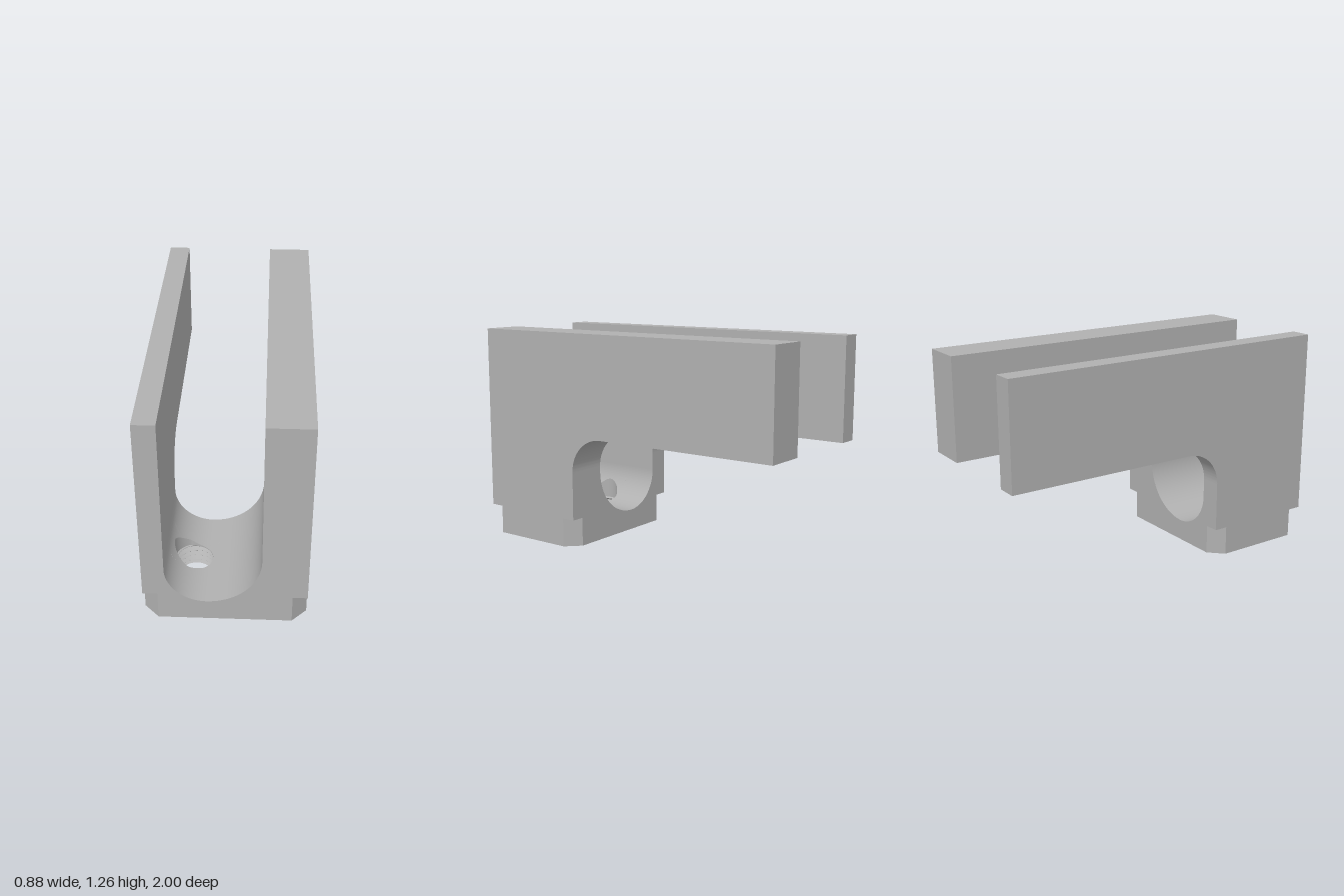
import * as THREE from 'three';
import { toCreasedNormals } from 'three/addons/utils/BufferGeometryUtils.js';
import { ParametricGeometry } from 'three/addons/geometries/ParametricGeometry.js';

const W = 0.44, TOP = 1.26, FRONT = 1, BACK = 0.33;   // overall block
const STEP = 0.17, CH = 0.08;                         // corner chamfers of the foot
const SLOT_L = -0.32, SLOT_R = 0.195, FLOOR = 0.125;  // slot between the arms
const MID = -0.1, RL = 0.22, RR = 0.295;              // the two floor radii meet at MID
const HX = -0.18, HZ = 0.66, R_IN = 0.093, R_OUT = 0.115, PLATE = 0.12;
const SQ = 0.125;                                     // half size of floor patch round the hole

// Slot curve: angle 0 is the left wall, PI the right wall
const radiusAt = (a) => (a < Math.PI / 2 ? RL : RR);
const curveX = (a) => MID - radiusAt(a) * Math.cos(a);
const curveY = (a) => FLOOR + radiusAt(a) * (1 - Math.sin(a));
const angleOf = (x) => Math.acos(THREE.MathUtils.clamp((MID - x) / (x < MID ? RL : RR), -1, 1));
const floorY = (x) => curveY(angleOf(x));

export function createModel() {
  const group = new THREE.Group();
  const grey = new THREE.MeshStandardMaterial({ color: 0xb0b0b0, side: THREE.DoubleSide });
  grey.name = 'grey metal';

  function add(name, geometry, crease = 0.6) {
    const mesh = new THREE.Mesh(toCreasedNormals(geometry, crease), grey);
    mesh.name = name;
    group.add(mesh);
    return mesh;
  }
  const surface = (name, fn, nu, nv, crease) => add(name, new ParametricGeometry(fn, nu, nv), crease);

  // Arms: side profile with a rounded inner corner, extruded across x
  function arm(name, x0, x1) {
    const s = new THREE.Shape();
    s.moveTo(-FRONT, STEP);
    s.lineTo(-BACK, STEP);
    s.lineTo(-BACK, 0.455);
    s.absarc(-0.12, 0.455, 0.21, Math.PI, Math.PI / 2, true);
    s.lineTo(1, 0.665);
    s.lineTo(1, TOP);
    s.lineTo(-FRONT, TOP);
    s.closePath();
    const g = new THREE.ExtrudeGeometry(s, { depth: x1 - x0, bevelEnabled: false, curveSegments: 24 });
    g.rotateY(Math.PI / 2);
    g.translate(x0, 0, 0);
    add(name, g);
  }
  arm('rightArm', -W, SLOT_L);
  arm('leftArm', SLOT_R, W);

  // Foot: chamfered plan outlines extruded upward
  function slab(name, points, y0, y1, hole) {
    const s = new THREE.Shape(points.map(([x, z]) => new THREE.Vector2(x, -z)));
    if (hole) s.holes.push(new THREE.Path().absarc(HX, -HZ, hole, 0, Math.PI * 2, true));
    const g = new THREE.ExtrudeGeometry(s, { depth: y1 - y0, bevelEnabled: false, curveSegments: 48 });
    g.rotateX(-Math.PI / 2);
    g.translate(0, y0, 0);
    add(name, g);
  }
  const rightEnd = [[-W + CH, BACK], [-W, BACK + CH], [-W, FRONT - CH], [-W + CH, FRONT]];
  const leftEnd = [[W - CH, FRONT], [W, FRONT - CH], [W, BACK + CH], [W - CH, BACK]];
  slab('footPlate', [...rightEnd, ...leftEnd], 0, PLATE, R_OUT + 0.001);
  slab('rightFootStep', [...rightEnd, [SLOT_L, FRONT], [SLOT_L, BACK]], PLATE, STEP);
  slab('leftFootStep', [[SLOT_R, BACK], [SLOT_R, FRONT], ...leftEnd], PLATE, STEP);

  // End faces under the slot curve
  const end = new THREE.Shape();
  end.moveTo(SLOT_L, PLATE);
  end.lineTo(SLOT_R, PLATE);
  for (let i = 64; i >= 0; i--) {
    const a = (Math.PI * i) / 64;
    end.lineTo(curveX(a), curveY(a));
  }
  add('slotFrontFace', new THREE.ShapeGeometry(end)).position.z = FRONT;
  const backFace = new THREE.ShapeGeometry(end);
  const index = backFace.index.array;
  for (let i = 0; i < index.length; i += 3) [index[i], index[i + 1]] = [index[i + 1], index[i]];
  add('slotBackFace', backFace).position.z = BACK;

  // Slot floor in strips around a square patch
  function floorStrip(x0, x1, z0, z1) {
    const a0 = angleOf(x0), a1 = angleOf(x1);
    surface('slotFloor', (u, v, p) => {
      const a = a0 + (a1 - a0) * v;
      p.set(curveX(a), curveY(a), z0 + (z1 - z0) * u);
    }, 1, 32);
  }
  floorStrip(SLOT_L, HX - SQ, BACK, FRONT);
  floorStrip(HX + SQ, SLOT_R, BACK, FRONT);
  floorStrip(HX - SQ, HX + SQ, BACK, HZ - SQ);
  floorStrip(HX - SQ, HX + SQ, HZ + SQ, FRONT);

  // The hole opens wider where the floor climbs
  function mouth(t) {
    const rise = floorY(HX + R_OUT * Math.cos(t)) - FLOOR;
    return THREE.MathUtils.lerp(0.098, R_OUT, THREE.MathUtils.smoothstep(rise, 0.005, 0.035));
  }
  surface('floorAroundHole', (u, v, p) => {
    const t = u * Math.PI * 2, c = Math.cos(t), s = Math.sin(t);
    const r = THREE.MathUtils.lerp(mouth(t), SQ / Math.max(Math.abs(c), Math.abs(s)), v);
    const x = HX + r * c;
    p.set(x, floorY(x), HZ + r * s);
  }, 96, 8);
  surface('holeMouth', (u, v, p) => {
    const t = u * Math.PI * 2, r = mouth(t), x = HX + r * Math.cos(t);
    p.set(x, THREE.MathUtils.lerp(PLATE, floorY(x), v), HZ + r * Math.sin(t));
  }, 96, 2);

  // Helical thread, fading out at both ends
  const PITCH = 0.034;
  function threadRadius(t, y) {
    const f = y / PITCH - t / (Math.PI * 2);
    const wave = 1 - Math.abs(2 * (f - Math.floor(f)) - 1);
    const r = R_IN + (R_OUT - R_IN) * wave;
    const low = THREE.MathUtils.clamp(y / 0.008, 0, 1);
    const high = THREE.MathUtils.clamp((PLATE - y) / 0.008, 0, 1);
    return THREE.MathUtils.lerp(mouth(t), THREE.MathUtils.lerp(R_IN, r, low), high);
  }
  surface('thread', (u, v, p) => {
    const t = u * Math.PI * 2, y = v * PLATE, r = threadRadius(t, y);
    p.set(HX + r * Math.cos(t), y, HZ + r * Math.sin(t));
  }, 96, 60);
  const rim = new THREE.RingGeometry(R_IN, R_OUT + 0.002, 96);
  rim.rotateX(Math.PI / 2);
  add('holeBottomRim', rim).position.set(HX, 0, HZ);

  return group;
}
